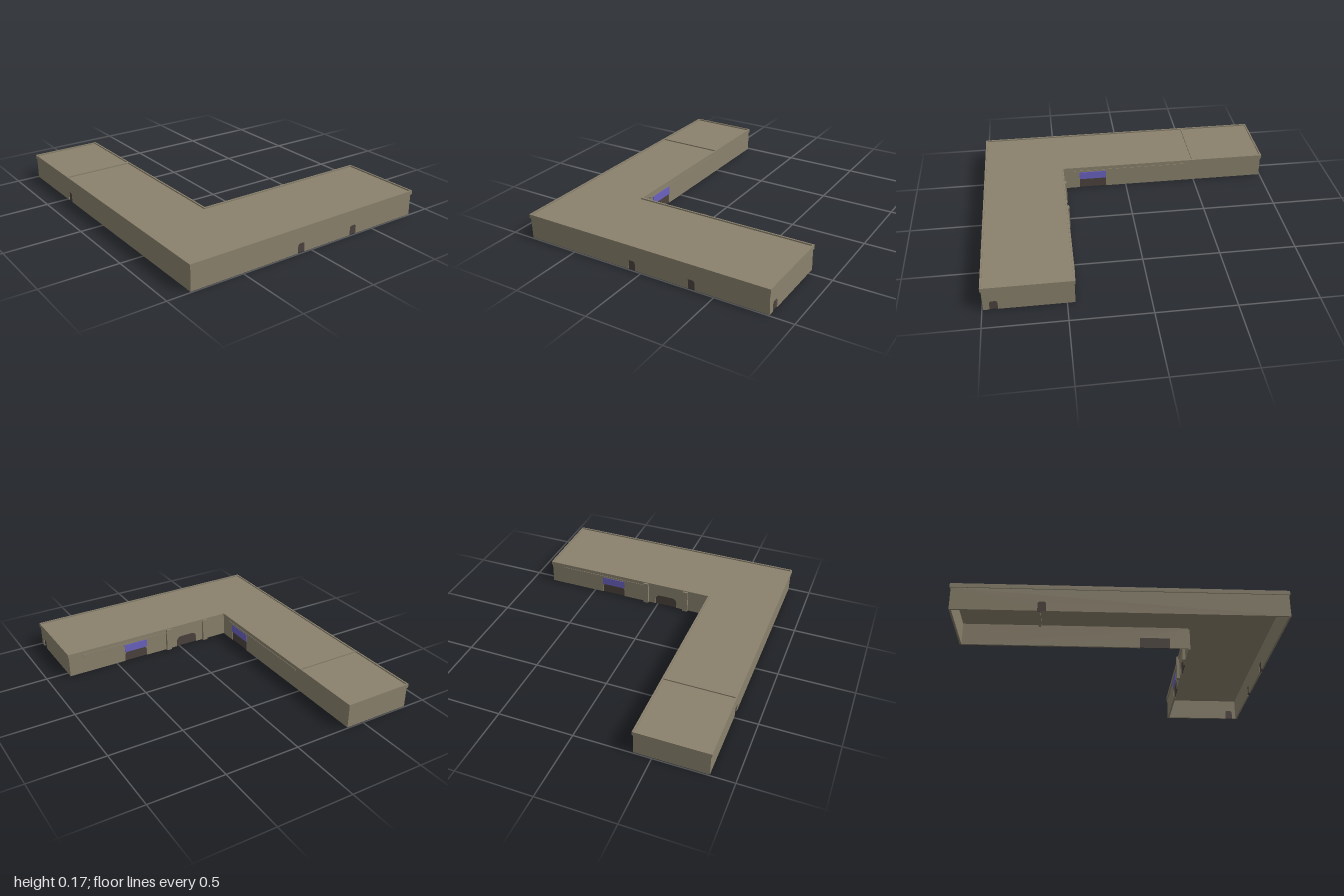
import * as THREE from 'three';

const X = 0.993, Z = 0.847;      // outer wall lines
const NX = 0.451, NZ = 0.382;    // inner corner of the L
const WALL_H = 0.143, T = 0.012; // wall height and thickness

const mat = (name, color, side = THREE.FrontSide) => {
  const m = new THREE.MeshStandardMaterial({ color, side });
  m.name = name;
  return m;
};

// L-shaped plan outline, grown outward by o (shape y is world z)
const outline = (o) => [
  [-X - o, NZ - o], [NX - o, NZ - o], [NX - o, -Z - o],
  [X + o, -Z - o], [X + o, Z + o], [-X - o, Z + o],
].map(([x, z]) => new THREE.Vector2(x, z));

// Horizontal slab or ring between two heights
function slab(outer, inner, y0, y1) {
  const shape = new THREE.Shape(outline(outer));
  if (inner !== null) shape.holes.push(new THREE.Path(outline(inner)));
  const g = new THREE.ExtrudeGeometry(shape, { depth: y1 - y0, bevelEnabled: false });
  return g.rotateX(Math.PI / 2).translate(0, y1, 0);
}

// Draws a round-shouldered doorway from its left foot to its right foot
function traceDoor(path, { s, w, h, r }) {
  const a = s - w / 2, b = s + w / 2;
  path.lineTo(a, 0);
  path.lineTo(a, h - r);
  path.quadraticCurveTo(a, h, a + r, h);
  path.lineTo(b - r, h);
  path.quadraticCurveTo(b, h, b, h - r);
  path.lineTo(b, 0);
}

export function createModel() {
  const model = new THREE.Group();
  model.name = 'building';
  const stone = mat('stone', 0x8a816d);
  const doorMat = mat('dark door', 0x4c423d);
  const signMat = mat('violet sign', 0x6a62c0);

  const add = (parent, name, geometry, material) => {
    const mesh = new THREE.Mesh(geometry, material);
    mesh.name = name;
    parent.add(mesh);
    return mesh;
  };
  const box = (w, h, d, x, y, z) => new THREE.BoxGeometry(w, h, d).translate(x, y, z);

  // Walls: s is the distance along each wall, local +z points outside
  const small = (s) => ({ s, w: 0.05, h: 0.062, r: 0.018 });
  const walls = [
    { name: 'frontWall', a: [-X, Z], b: [X, Z], doors: [small(0.531)] },
    { name: 'eastWall', a: [X, Z], b: [X, -Z], doors: [small(0.776), small(1.191)] },
    { name: 'northEndWall', a: [X, -Z], b: [NX, -Z], doors: [small(0.063)] },
    {
      name: 'courtSideWall', a: [NX, -Z], b: [NX, NZ],
      doors: [{ s: 0.498, w: 0.17, h: 0.07, r: 0.03, sign: true }, { s: 0.908, w: 0.16, h: 0.075, r: 0.04 }],
      columns: [0.757, 1.057], ledge: [0.1, 0.74],
    },
    {
      name: 'courtBackWall', a: [NX, NZ], b: [-X, NZ],
      doors: [{ s: 0.214, w: 0.19, h: 0.068, r: 0.003, sign: true }],
      ledge: [0.08, 0.9],
    },
    { name: 'westEndWall', a: [-X, NZ], b: [-X, Z], doors: [] },
  ];

  for (const { name, a, b, doors, columns = [], ledge } of walls) {
    const dx = b[0] - a[0], dz = b[1] - a[1], len = Math.hypot(dx, dz);
    const side = new THREE.Group();
    side.name = name;
    side.position.set(a[0], 0, a[1]);
    side.rotation.y = Math.atan2(-dz, dx);
    model.add(side);

    const shape = new THREE.Shape();
    shape.moveTo(0, 0);
    doors.forEach((d) => traceDoor(shape, d));
    shape.lineTo(len, 0);
    shape.lineTo(len, WALL_H);
    shape.lineTo(0, WALL_H);
    const g = new THREE.ExtrudeGeometry(shape, { depth: T, bevelEnabled: false, curveSegments: 6 });
    add(side, 'wall', g.translate(0, 0, -T), stone);

    for (const d of doors) {
      // Door leaf set back in its opening
      const leaf = new THREE.Shape();
      leaf.moveTo(d.s - d.w / 2, 0);
      traceDoor(leaf, d);
      const lg = new THREE.ExtrudeGeometry(leaf, { depth: 0.004, bevelEnabled: false, curveSegments: 6 });
      add(side, 'door', lg.translate(0, 0, -0.009), doorMat);
      if (d.sign) add(side, 'sign', box(d.w, 0.055, 0.006, d.s, 0.098, 0.002), signMat);
    }
    for (const s of columns) {
      add(side, 'column', box(0.036, 0.162, 0.018, s, 0.081, 0.009), stone);
    }
    if (ledge) {
      const [s0, s1] = ledge;
      add(side, 'ledge', box(s1 - s0, 0.012, 0.009, (s0 + s1) / 2, 0.137, 0.0045), stone);
    }
  }

  // Roof deck, overhanging parapet and the divider across the west wing
  add(model, 'roofDeck', slab(-0.002, null, 0.143, 0.159), stone);
  add(model, 'parapet', slab(0.006, -0.004, 0.142, 0.168), stone);
  add(model, 'roofDivider', box(0.016, 0.036, Z - NZ - 0.01, -0.492, 0.149, (Z + NZ) / 2), stone);

  return model;
}
